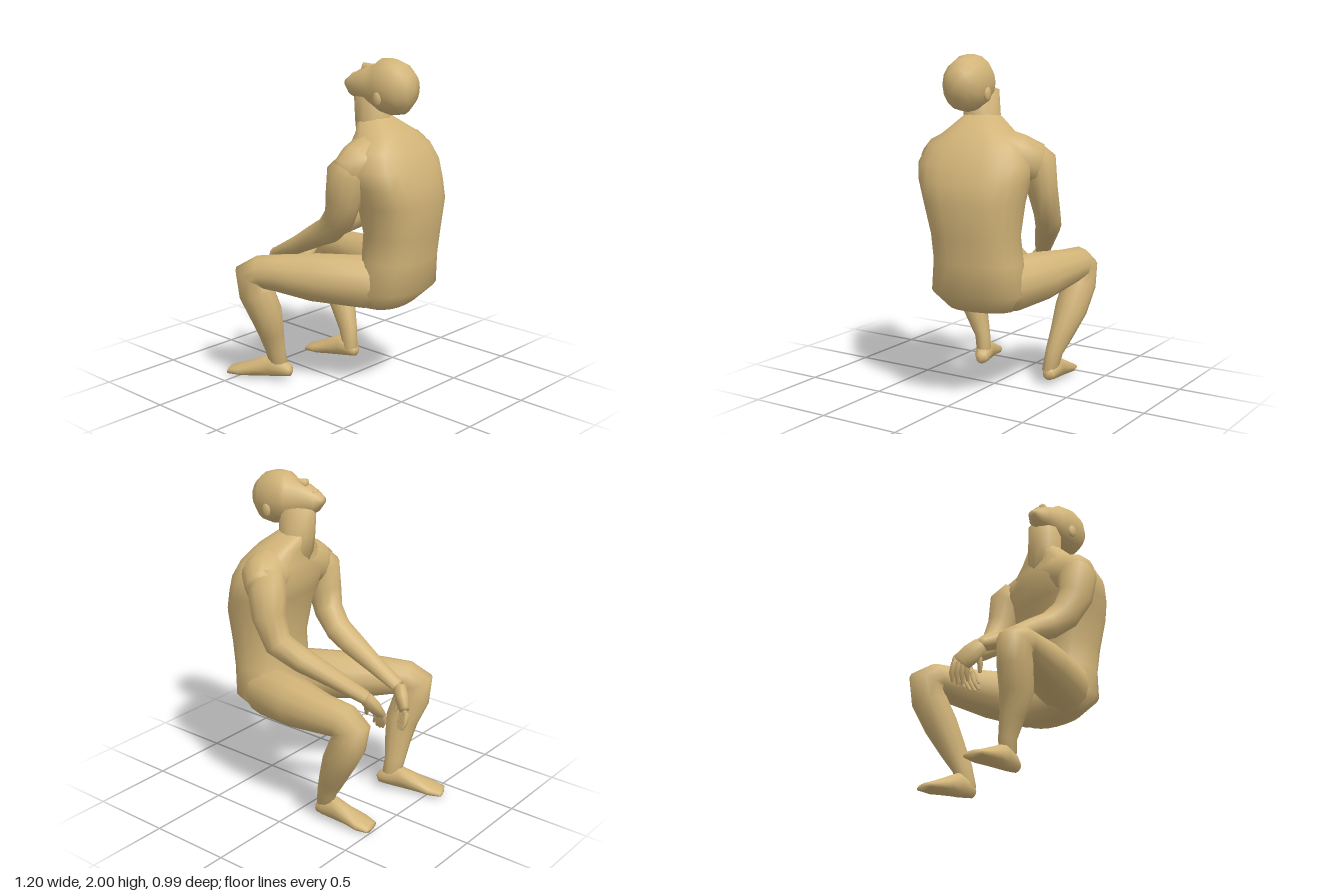
import * as THREE from 'three';

const V3 = (x, y, z) => new THREE.Vector3(x, y, z);

// Closed smooth skin through elliptical sections [x, y, z, halfWidth, halfDepth].
// side: direction of the width; axis: fixed section normal (otherwise follows the path);
// power < 1 squares the sections; cap: how far the ends bulge.
function loft(rows, { side = V3(0, 0, 1), axis = null, sides = 12, power = 1, cap = 0.4 } = {}) {
  const pos = [], idx = [], n = rows.length;
  const centre = rows.map(r => V3(r[0], r[1], r[2]));
  const bend = t => Math.sign(t) * Math.pow(Math.abs(t), power);
  const ends = [];
  rows.forEach((r, i) => {
    const c = centre[i];
    let t;
    if (axis) t = axis.clone().normalize();
    else {
      t = V3(0, 0, 0);
      if (i > 0) t.add(c.clone().sub(centre[i - 1]).normalize());
      if (i < n - 1) t.add(centre[i + 1].clone().sub(c).normalize());
      t.normalize();
    }
    const u = side.clone().addScaledVector(t, -side.dot(t)).normalize();
    const v = t.clone().cross(u);
    for (let j = 0; j < sides; j++) {
      const a = j / sides * Math.PI * 2;
      const p = c.clone().addScaledVector(u, r[3] * bend(Math.cos(a))).addScaledVector(v, r[4] * bend(Math.sin(a)));
      pos.push(p.x, p.y, p.z);
    }
    const bulge = cap * Math.min(r[3], r[4]);
    if (i === 0) ends[0] = c.clone().addScaledVector(t, -bulge);
    if (i === n - 1) ends[1] = c.clone().addScaledVector(t, bulge);
  });
  ends.forEach(e => pos.push(e.x, e.y, e.z));
  const first = n * sides, last = first + 1, top = (n - 1) * sides;
  for (let j = 0; j < sides; j++) {
    const k = (j + 1) % sides;
    for (let i = 0; i < n - 1; i++) {
      const a = i * sides + j, b = i * sides + k, c = b + sides, d = a + sides;
      idx.push(a, b, c, a, c, d);
    }
    idx.push(first, k, j, last, top + j, top + k);
  }
  const g = new THREE.BufferGeometry();
  g.setAttribute('position', new THREE.Float32BufferAttribute(pos, 3));
  g.setIndex(idx);
  g.computeVertexNormals();
  return g;
}

export function createModel() {
  const model = new THREE.Group();
  model.name = 'seatedFigure';
  const skin = new THREE.MeshStandardMaterial({ color: 0xd2b478 });
  skin.name = 'skin';

  const part = (name, geometry, parent = model) => {
    const m = new THREE.Mesh(geometry, skin);
    m.name = name;
    parent.add(m);
  };
  const bodySide = V3(0.14, 0, 0.99);

  // Torso, from seat to base of the neck
  part('torso', loft([
    [0.285, 0.56, -0.11, 0.20, 0.14],
    [0.34, 0.67, -0.12, 0.28, 0.20],
    [0.365, 0.85, -0.125, 0.258, 0.185],
    [0.385, 1.0, -0.12, 0.255, 0.19],
    [0.385, 1.19, -0.11, 0.29, 0.215],
    [0.36, 1.3, -0.095, 0.32, 0.22],
    [0.33, 1.4, -0.09, 0.335, 0.22],
    [0.31, 1.5, -0.09, 0.29, 0.185],
    [0.28, 1.58, -0.085, 0.19, 0.145],
    [0.22, 1.665, -0.06, 0.09, 0.095],
  ], { side: bodySide, axis: V3(0, 1, 0), sides: 20, power: 0.82, cap: 0.12 }));

  // Shoulder girdle, running across from left to right
  part('shoulders', loft([
    [0.27, 1.36, 0.25, 0.11, 0.085],
    [0.285, 1.4, 0.16, 0.14, 0.135],
    [0.295, 1.45, 0.03, 0.15, 0.16],
    [0.285, 1.455, -0.18, 0.155, 0.165],
    [0.24, 1.43, -0.32, 0.135, 0.14],
    [0.18, 1.4, -0.41, 0.11, 0.09],
  ], { side: V3(0, 1, 0), sides: 14 }));

  part('neck', loft([
    [0.25, 1.48, -0.07, 0.14, 0.12],
    [0.215, 1.64, -0.055, 0.107, 0.105],
    [0.215, 1.8, -0.048, 0.10, 0.112],
  ], { side: bodySide, axis: V3(0, 1, 0) }));

  // Head tipped back, built from chin to crown
  const head = new THREE.Group();
  head.name = 'head';
  model.add(head);
  part('skull', loft([
    [0.07, 1.848, 0.01, 0.03, 0.022],
    [0.105, 1.838, 0.003, 0.057, 0.06],
    [0.16, 1.845, -0.012, 0.082, 0.088],
    [0.22, 1.845, -0.033, 0.105, 0.112],
    [0.255, 1.842, -0.043, 0.117, 0.125],
    [0.285, 1.848, -0.048, 0.124, 0.15],
    [0.36, 1.842, -0.054, 0.13, 0.16],
    [0.44, 1.835, -0.064, 0.115, 0.14],
    [0.49, 1.84, -0.07, 0.075, 0.085],
  ], { side: V3(0.15, 0, 0.98), axis: V3(0.98, 0, -0.15), sides: 16, cap: 0.25 }), head);
  part('nose', loft([
    [0.27, 1.95, -0.046, 0.02, 0.015],
    [0.21, 1.935, -0.032, 0.022, 0.028],
    [0.168, 1.937, -0.018, 0.03, 0.03],
  ], { sides: 8 }), head);
  part('lips', new THREE.SphereGeometry(1, 10, 6).scale(0.02, 0.02, 0.036).translate(0.122, 1.892, -0.003), head);
  for (const [name, z] of [['leftEar', 0.066], ['rightEar', -0.174]]) {
    part(name, new THREE.SphereGeometry(1, 10, 6).scale(0.03, 0.042, 0.016).translate(0.345, 1.785, z), head);
  }

  // Arms, shoulder to wrist
  part('leftArm', loft([
    [0.28, 1.44, 0.18, 0.08, 0.09],
    [0.26, 1.37, 0.215, 0.118, 0.12],
    [0.235, 1.22, 0.222, 0.092, 0.11],
    [0.18, 1.1, 0.195, 0.082, 0.095],
    [0.08, 1.01, 0.165, 0.083, 0.082],
    [-0.03, 0.955, 0.152, 0.083, 0.072],
    [-0.2, 0.86, 0.153, 0.06, 0.054],
    [-0.38, 0.77, 0.15, 0.05, 0.04],
  ]));
  part('rightArm', loft([
    [0.19, 1.47, -0.34, 0.08, 0.09],
    [0.155, 1.4, -0.39, 0.105, 0.115],
    [0.135, 1.25, -0.405, 0.087, 0.10],
    [0.07, 1.1, -0.4, 0.076, 0.085],
    [-0.05, 1.01, -0.34, 0.076, 0.072],
    [-0.2, 0.9, -0.235, 0.062, 0.055],
    [-0.35, 0.785, -0.13, 0.046, 0.04],
  ], { side: V3(0.5, 0, 0.86) }));

  // Hands: palm, four curled fingers and a thumb
  function hand(name, wrist, knuckle, tip, spread) {
    const g = new THREE.Group();
    g.name = name;
    model.add(g);
    const mid = wrist.clone().lerp(knuckle, 0.5);
    part('palm', loft([
      [...wrist.toArray(), 0.048, 0.04],
      [...mid.toArray(), 0.064, 0.042],
      [...knuckle.toArray(), 0.06, 0.03],
    ], { side: spread, sides: 10 }), g);
    const down = tip.clone().sub(knuckle);
    for (let i = 0; i < 4; i++) {
      const a = knuckle.clone().addScaledVector(spread, (i - 1.5) * 0.028);
      const b = a.clone().addScaledVector(down, 0.5).add(V3(-0.012, 0, 0));
      const c = a.clone().addScaledVector(down, i === 0 || i === 3 ? 0.88 : 1);
      part('finger' + (i + 1), loft([
        [...a.toArray(), 0.016, 0.018],
        [...b.toArray(), 0.015, 0.016],
        [...c.toArray(), 0.01, 0.01],
      ], { side: spread, sides: 6 }), g);
    }
    const t0 = mid.clone().addScaledVector(spread, 0.04);
    const t1 = t0.clone().addScaledVector(down, 0.5).addScaledVector(spread, 0.015);
    const t2 = t1.clone().addScaledVector(down, 0.4);
    part('thumb', loft([
      [...t0.toArray(), 0.02, 0.02],
      [...t1.toArray(), 0.016, 0.016],
      [...t2.toArray(), 0.01, 0.01],
    ], { side: spread, sides: 6 }), g);
  }
  hand('leftHand', V3(-0.39, 0.765, 0.15), V3(-0.475, 0.66, 0.09), V3(-0.46, 0.545, 0.06), V3(0.75, 0, 0.66).normalize());
  hand('rightHand', V3(-0.35, 0.78, -0.125), V3(-0.375, 0.66, -0.03), V3(-0.345, 0.55, 0.01), V3(0.95, 0, 0.3).normalize());

  // Legs, hip to ankle
  part('leftLeg', loft([
    [0.41, 0.685, -0.02, 0.10, 0.09],
    [0.28, 0.707, 0.045, 0.155, 0.16],
    [0.0, 0.713, 0.215, 0.145, 0.145],
    [-0.2, 0.722, 0.325, 0.115, 0.112],
    [-0.285, 0.72, 0.375, 0.104, 0.103],
    [-0.335, 0.69, 0.4, 0.096, 0.114],
    [-0.32, 0.59, 0.385, 0.098, 0.11],
    [-0.28, 0.45, 0.345, 0.095, 0.10],
    [-0.28, 0.32, 0.305, 0.068, 0.08],
    [-0.285, 0.2, 0.27, 0.048, 0.063],
    [-0.27, 0.08, 0.25, 0.045, 0.056],
  ], { side: V3(0.49, 0, 0.87) }));
  part('rightLeg', loft([
    [0.41, 0.685, -0.24, 0.10, 0.09],
    [0.28, 0.707, -0.265, 0.155, 0.16],
    [0.0, 0.713, -0.315, 0.145, 0.145],
    [-0.22, 0.72, -0.345, 0.115, 0.115],
    [-0.375, 0.722, -0.352, 0.106, 0.104],
    [-0.43, 0.688, -0.355, 0.10, 0.114],
    [-0.405, 0.59, -0.36, 0.098, 0.108],
    [-0.33, 0.45, -0.345, 0.098, 0.10],
    [-0.255, 0.3, -0.32, 0.068, 0.08],
    [-0.205, 0.2, -0.3, 0.05, 0.063],
    [-0.175, 0.08, -0.285, 0.045, 0.052],
  ]));

  // Feet: the same shape swung from heel to toe
  function foot(name, heel, toe) {
    const dir = toe.clone().sub(heel);
    const at = (f, y, w, h) => [heel.x + dir.x * f, y, heel.z + dir.z * f, w, h];
    part(name, loft([
      at(0.0, 0.072, 0.035, 0.035),
      at(0.12, 0.084, 0.05, 0.055),
      at(0.32, 0.09, 0.055, 0.072),
      at(0.55, 0.066, 0.064, 0.055),
      at(0.8, 0.04, 0.077, 0.038),
      at(1.0, 0.026, 0.062, 0.022),
    ], { side: V3(-dir.z, 0, dir.x).normalize(), axis: V3(dir.x, 0, dir.z), cap: 0.5 }));
  }
  foot('leftFoot', V3(-0.2, 0, 0.225), V3(-0.575, 0, 0.378));
  foot('rightFoot', V3(-0.135, 0, -0.3), V3(-0.49, 0, -0.24));

  return model;
}
